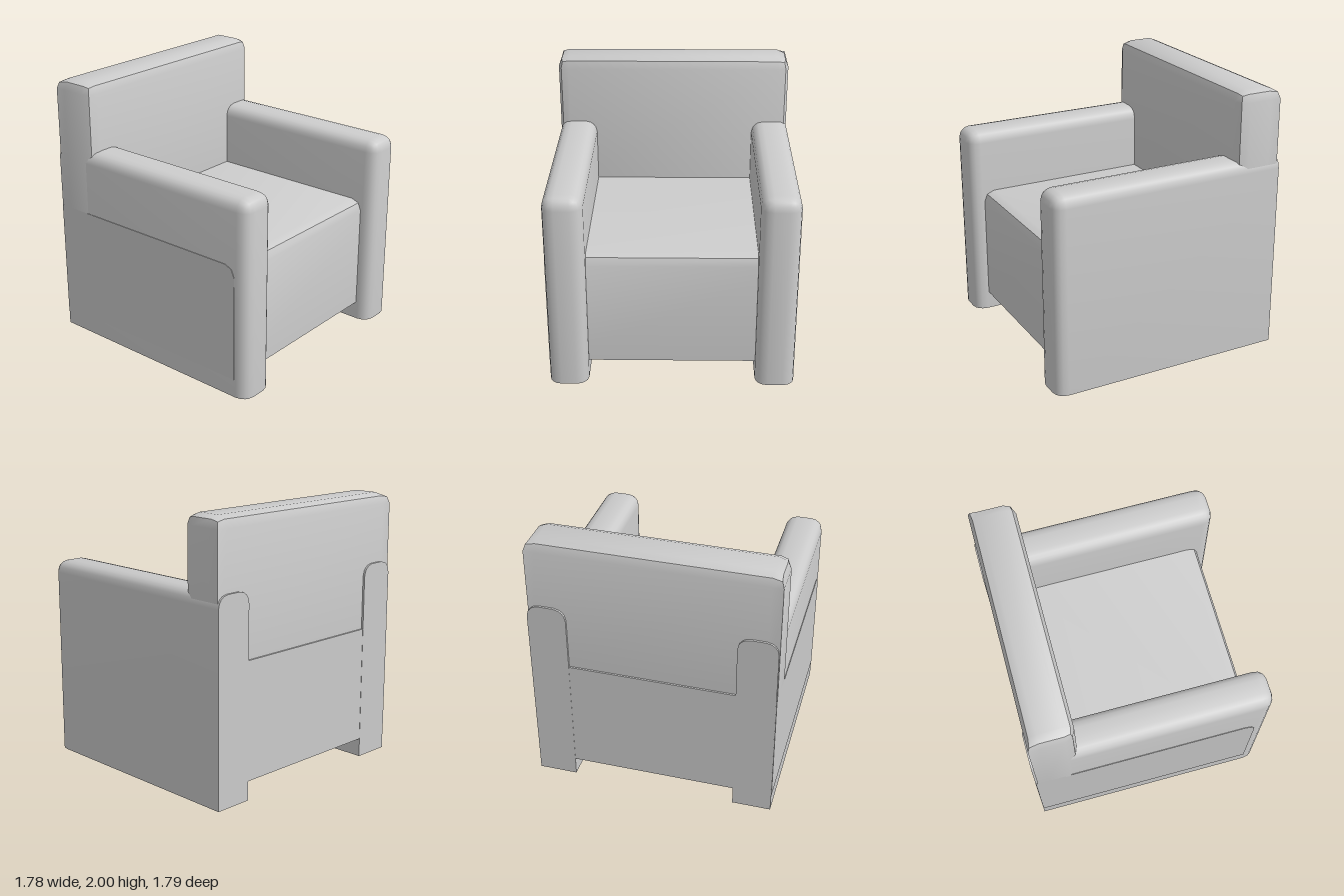
import * as THREE from 'three';
import { toCreasedNormals } from 'three/addons/utils/BufferGeometryUtils.js';
import { RoundedBoxGeometry } from 'three/addons/geometries/RoundedBoxGeometry.js';

const material = new THREE.MeshStandardMaterial({ color: 0xcccccc });
const CREASE = 0.6;

// Rounded box between two corners, with a rule that may move each vertex
function softBox(name, min, max, radius, segments, rule) {
  const size = max.map((v, i) => v - min[i]);
  const geometry = new RoundedBoxGeometry(...size, segments, radius);
  geometry.translate(...min.map((v, i) => (v + max[i]) / 2));
  const pos = geometry.attributes.position;
  const p = new THREE.Vector3();
  for (let i = 0; i < pos.count; i++) {
    p.fromBufferAttribute(pos, i);
    rule(p);
    pos.setXYZ(i, p.x, p.y, p.z);
  }
  const mesh = new THREE.Mesh(toCreasedNormals(geometry, CREASE), material);
  mesh.name = name;
  return mesh;
}

// Arm: rounded on top and at the front, cut square at the back and floor
function arm(name, zMin, zMax) {
  const r = 0.09, back = -0.895;
  return softBox(name, [back - r, -r, zMin], [0.89, 1.49, zMax], r, 2, (p) => {
    p.x = Math.max(p.x, back);
    p.y = Math.max(p.y, 0);
  });
}

// Backrest: bevelled on top and down the front edges, square at the rear edges
function backrest() {
  const r = 0.08, min = [-0.88, 0.9, -0.887], max = [-0.548, 2, 0.897];
  return softBox('backrest', min, max, r, 1, (p) => {
    p.y = Math.max(p.y, 0.98);
    const dx = p.x - (min[0] + r);
    const coreZ = p.z > 0 ? max[2] - r : min[2] + r;
    const dz = p.z - coreZ;
    const reach = Math.max(Math.abs(dx), Math.abs(dz));
    if (dx < -1e-5 && dz * p.z > 1e-5) {
      const k = Math.hypot(dx, dz) / reach;
      p.x = min[0] + r + dx * k;
      p.z = coreZ + dz * k;
    }
  });
}

// Seat block: side profile with a bevelled front top edge, run across the width
function seat() {
  const r = 0.08, back = -0.893, front = 0.785, bottom = 0.14, top = 1.005;
  const profile = new THREE.Shape();
  profile.moveTo(back, bottom);
  profile.lineTo(front, bottom);
  for (let i = 0; i <= 2; i++) {
    const a = (i * Math.PI) / 4;
    profile.lineTo(front - r + r * Math.cos(a), top - r + r * Math.sin(a));
  }
  profile.lineTo(back, top);
  profile.closePath();
  const geometry = new THREE.ExtrudeGeometry(profile, { depth: 1.783, bevelEnabled: false });
  geometry.translate(0, 0, -0.886);
  const mesh = new THREE.Mesh(toCreasedNormals(geometry, CREASE), material);
  mesh.name = 'seat';
  return mesh;
}

export function createModel() {
  const group = new THREE.Group();
  group.name = 'armchair';
  group.add(
    seat(),
    backrest(),
    arm('armNear', 0.608, 0.893),
    arm('armFar', -0.895, -0.61)
  );
  return group;
}
